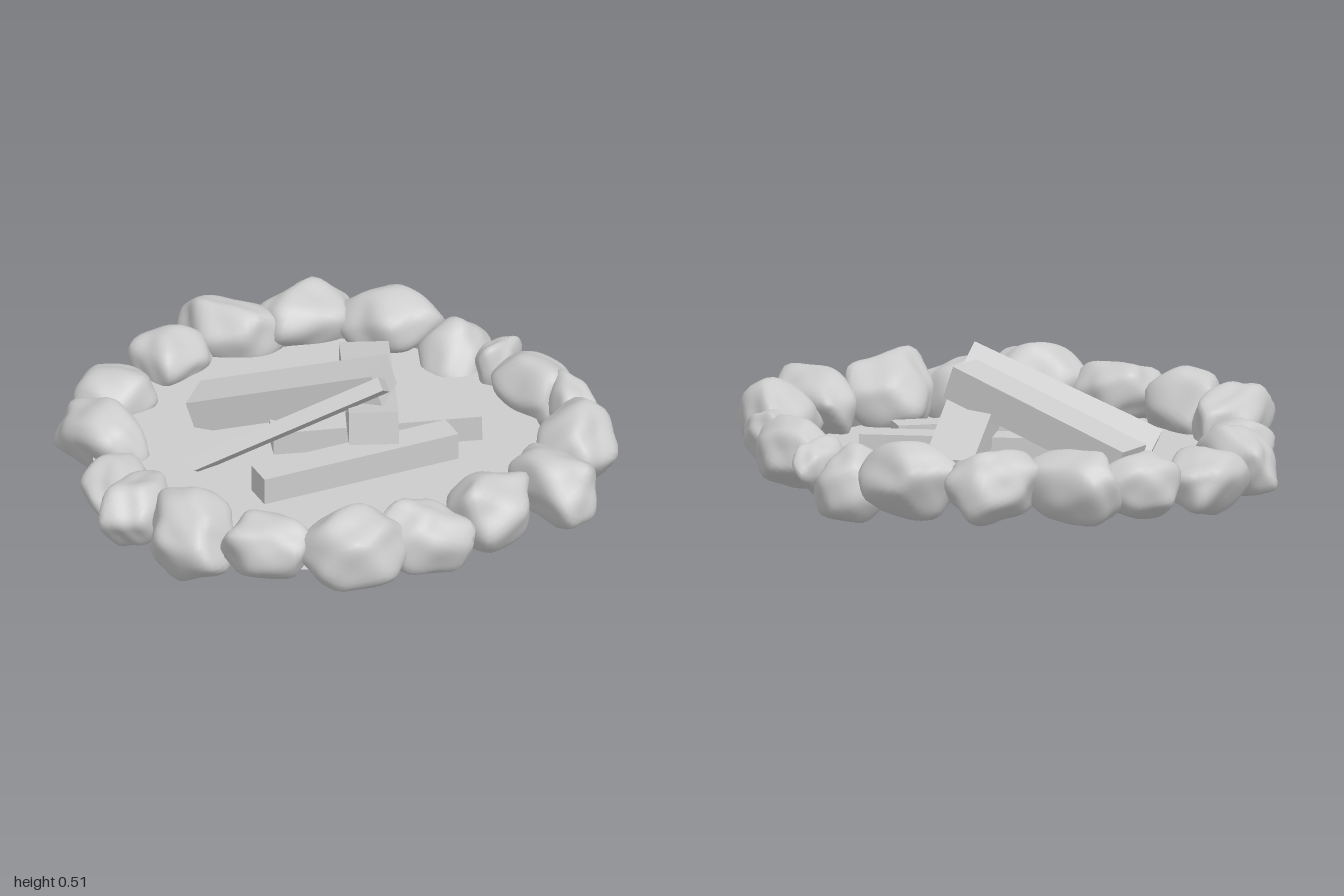
import * as THREE from 'three';
import { mergeVertices } from 'three/addons/utils/BufferGeometryUtils.js';

const material = new THREE.MeshStandardMaterial({ color: 0xcccccc });
const thinMaterial = new THREE.MeshStandardMaterial({ color: 0xcccccc, side: THREE.DoubleSide });

// Small seeded generator
function seeded(seed) {
  let s = seed * 7919 + 17;
  return () => {
    s = (s * 1664525 + 1013904223) % 4294967296;
    return s / 4294967296;
  };
}

// Rounded boulder: a sphere cut by softened random planes, fitted to a size
function rockGeometry(seed, width, height, depth, yaw) {
  const rand = seeded(seed);
  const planes = [];
  for (let i = 0; i < 15; i++) {
    const y = 1 - (2 * (i + 0.5)) / 15;
    const a = i * 2.4 + seed + rand() * 0.9;
    const r = Math.sqrt(1 - y * y);
    const n = new THREE.Vector3(Math.cos(a) * r, y + (rand() - 0.5) * 0.4, Math.sin(a) * r).normalize();
    planes.push({ n, d: 0.78 + rand() * 0.3 });
  }
  let geo = new THREE.IcosahedronGeometry(1, 7);
  geo.deleteAttribute('uv');
  geo.deleteAttribute('normal');
  geo = mergeVertices(geo, 1e-4);
  const pos = geo.attributes.position;
  const v = new THREE.Vector3();
  for (let i = 0; i < pos.count; i++) {
    v.fromBufferAttribute(pos, i).normalize();
    let sum = 0;
    for (const { n, d } of planes) sum += Math.pow(Math.max(0, n.dot(v)) / d, 14);
    const dent = 1 + 0.045 * Math.sin(v.x * 5 + seed) * Math.sin(v.y * 4 + v.z * 5 + seed * 2);
    v.multiplyScalar(dent * Math.pow(sum, -1 / 14));
    pos.setXYZ(i, v.x, v.y, v.z);
  }
  geo.scale(1.4, 1, 1);
  geo.rotateY(yaw);
  geo.center();
  const box = geo.boundingBox.getSize(new THREE.Vector3());
  geo.scale(width / box.x, height / box.y, depth / box.z);
  geo.computeVertexNormals();
  return geo;
}

// Squared log running between two end centres
function log(name, from, to, width, height, roll = 0) {
  const a = new THREE.Vector3(...from);
  const b = new THREE.Vector3(...to);
  const geo = new THREE.BoxGeometry(width, height, a.distanceTo(b));
  geo.rotateZ(roll);
  const mesh = new THREE.Mesh(geo, material);
  mesh.name = name;
  mesh.position.copy(a).add(b).multiplyScalar(0.5);
  mesh.lookAt(b);
  return mesh;
}

export function createModel() {
  const model = new THREE.Group();
  model.name = 'firePit';

  // Ground disc
  const disc = new THREE.Mesh(new THREE.CircleGeometry(0.8, 32), thinMaterial);
  disc.name = 'groundDisc';
  disc.rotation.x = -Math.PI / 2;
  disc.position.set(-0.06, 0.135, 0.01);
  model.add(disc);

  // Ring of rocks: x, z, width, depth, bottom, top; each lies along the ring
  const rocks = [
    [-0.32, -0.79, 0.36, 0.28, 0.05, 0.33],
    [-0.06, -0.81, 0.28, 0.3, 0, 0.29],
    [0.13, -0.82, 0.14, 0.23, 0.06, 0.28],
    [0.33, -0.73, 0.36, 0.25, 0.06, 0.31],
    [0.54, -0.67, 0.23, 0.2, 0.12, 0.31],
    [0.71, -0.45, 0.33, 0.33, 0.08, 0.37],
    [0.81, -0.18, 0.38, 0.27, 0.09, 0.35],
    [0.73, 0.09, 0.35, 0.36, 0.08, 0.385],
    [0.66, 0.38, 0.3, 0.28, 0.05, 0.36],
    [0.51, 0.6, 0.34, 0.35, 0.07, 0.385],
    [0.24, 0.74, 0.31, 0.26, 0.1, 0.33],
    [-0.05, 0.8, 0.34, 0.3, 0.03, 0.35],
    [-0.32, 0.77, 0.26, 0.37, 0.05, 0.32],
    [-0.51, 0.62, 0.26, 0.31, 0.04, 0.25],
    [-0.73, 0.39, 0.39, 0.26, 0.02, 0.29],
    [-0.86, 0.13, 0.28, 0.34, 0.02, 0.26],
    [-0.84, -0.2, 0.26, 0.31, 0.04, 0.28],
    [-0.76, -0.42, 0.37, 0.27, 0.05, 0.31],
    [-0.57, -0.64, 0.28, 0.35, 0.05, 0.32],
  ];
  const ring = new THREE.Group();
  ring.name = 'rockRing';
  rocks.forEach(([x, z, width, depth, bottom, top], i) => {
    const geo = rockGeometry(i + 1, width, top - bottom, depth, Math.atan2(-x, -z));
    const rock = new THREE.Mesh(geo, material);
    rock.name = `rock${i + 1}`;
    rock.position.set(x, (bottom + top) / 2, z);
    ring.add(rock);
  });
  model.add(ring);

  // Two logs lying flat, three leaning on the pile
  const logs = new THREE.Group();
  logs.name = 'logs';
  logs.add(
    log('flatLogBack', [-0.23, 0.17, 0.065], [0.31, 0.18, -0.44], 0.12, 0.1),
    log('flatLogFront', [-0.065, 0.186, 0.38], [0.31, 0.186, -0.27], 0.11, 0.1),
    log('leaningLogBack', [-0.28, 0.17, -0.57], [0.165, 0.31, 0], 0.175, 0.12),
    log('leaningLogSide', [-0.56, 0.17, 0.04], [0.1, 0.41, -0.155], 0.165, 0.12),
    log('leaningLogTop', [-0.35, 0.16, 0.36], [0.165, 0.46, -0.06], 0.05, 0.13, 0.95),
  );
  model.add(logs);
  return model;
}
